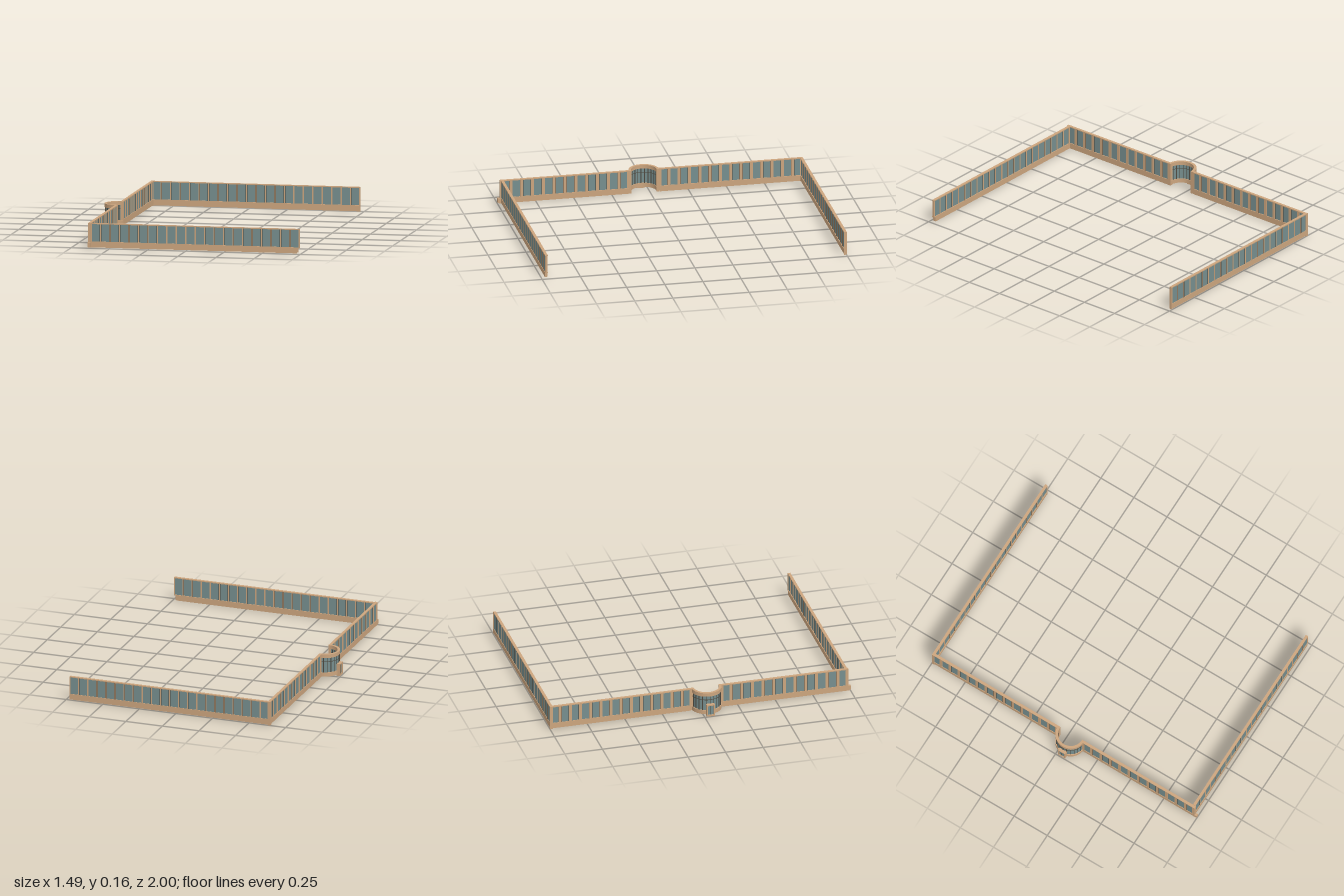
import * as THREE from 'three';

export function createModel() {
  const model = new THREE.Group();
  model.name = 'glazedCourtyardWall';
  const mat = (name, color) => new THREE.MeshStandardMaterial({ name, color });
  const stone = mat('tanStone', 0xcca57e);
  const glass = mat('greyGlass', 0x768e8e);
  const bronze = mat('darkBronze', 0x4f4a40);

  const add = (parent, name, geometry, material) => {
    const mesh = new THREE.Mesh(geometry, material);
    mesh.name = name;
    parent.add(mesh);
    return mesh;
  };
  // Box given by its low and high corners
  const box = (parent, name, material, x0, x1, y0, y1, z0, z1) => {
    const mesh = add(parent, name, new THREE.BoxGeometry(x1 - x0, y1 - y0, z1 - z0), material);
    mesh.position.set((x0 + x1) / 2, (y0 + y1) / 2, (z0 + z1) / 2);
    return mesh;
  };

  // Straight glazed wall along local +x, its outside facing local +z
  function wall(name, length, panes, mullion, baseStart, baseEnd) {
    const g = new THREE.Group();
    g.name = name;
    box(g, 'plinth', stone, baseStart + 0.004, baseEnd - 0.008, 0.003, 0.011, -0.006, 0.006);
    box(g, 'base', stone, baseStart, baseEnd, 0.009, 0.038, -0.009, 0.009);
    box(g, 'sill', stone, 0, length, 0.036, 0.042, -0.009, 0.009);
    box(g, 'topRail', stone, 0, length, 0.154, 0.16, -0.009, 0.009);
    const pitch = length / panes;
    for (let i = 0; i <= panes; i++) {
      const x = Math.min(Math.max(i * pitch, mullion / 2), length - mullion / 2);
      box(g, 'mullion', stone, x - mullion / 2, x + mullion / 2, 0.04, 0.156, -0.008, 0.008);
    }
    for (let i = 0; i < panes; i++) {
      const x0 = i * pitch + mullion / 2, x1 = (i + 1) * pitch - mullion / 2;
      box(g, 'pane', glass, x0, x1, 0.042, 0.154, -0.004, 0.006);
      for (const x of [x0, x1 - 0.002])
        box(g, 'paneFrame', bronze, x, x + 0.002, 0.042, 0.154, -0.005, 0.007);
    }
    model.add(g);
    return g;
  }

  // Front and back wings
  wall('frontWing', 1.365, 22, 0.007, -0.015, 1.355).position.set(-0.625, 0, 0.97);
  const back = wall('backWing', 1.365, 22, 0.007, 0, 1.365);
  back.rotation.y = Math.PI;
  back.position.set(0.727, 0, -0.991);

  // Side wall in two runs, either side of the bay
  const sideFront = wall('sideWallFront', 0.852, 12, 0.019, 0, 0.867);
  sideFront.rotation.y = -Math.PI / 2;
  sideFront.position.set(-0.635, 0, 0.133);
  const sideBack = wall('sideWallBack', 0.947, 14, 0.019, 0, 0.947);
  sideBack.rotation.y = -Math.PI / 2;
  sideBack.position.set(-0.635, 0, -1);
  box(model, 'backCornerPost', stone, -0.645, -0.626, 0, 0.16, -1, -0.982);
  box(model, 'backEndPost', stone, 0.722, 0.727, 0.003, 0.16, -1, -0.982);

  // Half-round bay bulging towards -x
  const bay = new THREE.Group();
  bay.name = 'bay';
  bay.position.set(-0.632, 0, 0.042);
  model.add(bay);
  function halfRing(name, material, inner, outer, y0, y1) {
    const shape = new THREE.Shape();
    shape.absarc(0, 0, outer, Math.PI / 2, Math.PI * 1.5, false);
    shape.absarc(0, 0, inner, Math.PI * 1.5, Math.PI / 2, true);
    const geo = new THREE.ExtrudeGeometry(shape, { depth: y1 - y0, bevelEnabled: false, curveSegments: 20 });
    geo.rotateX(-Math.PI / 2);
    add(bay, name, geo, material).position.y = y0;
  }
  halfRing('bayBase', stone, 0.082, 0.099, 0.01, 0.037);
  halfRing('bayGlass', glass, 0.087, 0.093, 0.037, 0.136);
  halfRing('bayTransom', bronze, 0.086, 0.095, 0.108, 0.111);
  halfRing('bayTopBand', stone, 0.082, 0.099, 0.136, 0.16);
  for (let i = 0; i <= 12; i++) {
    const a = Math.PI / 2 + (i / 12) * Math.PI;
    const bar = add(bay, 'bayMullion', new THREE.BoxGeometry(0.012, 0.1, 0.004), bronze);
    bar.position.set(0.09 * Math.cos(a), 0.086, 0.09 * Math.sin(a));
    bar.rotation.y = -a;
  }
  for (const s of [-1, 1])
    box(bay, 'bayJamb', stone, -0.012, 0.006, 0.005, 0.16, s * 0.091 - 0.008, s * 0.091 + 0.008);

  // Small doorway box on the outside of the bay
  const door = new THREE.Group();
  door.name = 'doorway';
  model.add(door);
  for (const z of [0.015, 0.061])
    box(door, 'doorJamb', stone, -0.745, -0.722, 0, 0.082, z, z + 0.008);
  box(door, 'doorLintel', stone, -0.745, -0.722, 0.074, 0.082, 0.023, 0.061);
  box(door, 'doorStep', stone, -0.745, -0.722, 0, 0.01, 0.023, 0.061);
  box(door, 'doorPane', glass, -0.739, -0.731, 0.01, 0.074, 0.023, 0.061);
  box(door, 'doorBar', bronze, -0.741, -0.73, 0.01, 0.074, 0.0405, 0.0435);

  return model;
}
